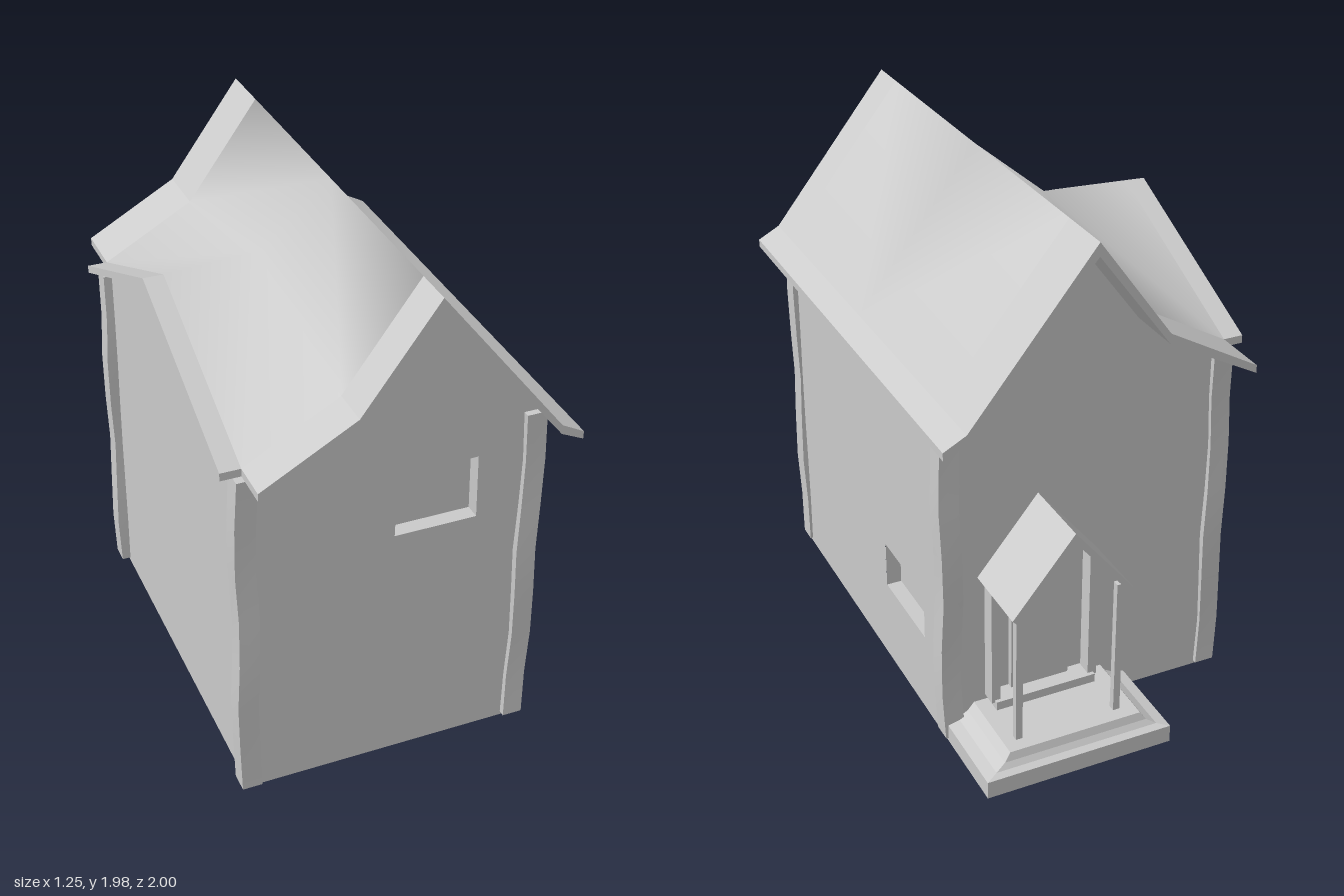
import * as THREE from 'three';

const mat = new THREE.MeshStandardMaterial({ color: 0xcccccc, side: THREE.DoubleSide });
const flatMat = new THREE.MeshStandardMaterial({ color: 0xcccccc, side: THREE.DoubleSide, flatShading: true });

function add(parent, name, geometry, x = 0, y = 0, z = 0, material = mat) {
  const m = new THREE.Mesh(geometry, material);
  m.name = name;
  m.position.set(x, y, z);
  parent.add(m);
  return m;
}
const shapeOf = (pts) => new THREE.Shape(pts.map(([x, y]) => new THREE.Vector2(x, y)));
const extrude = (shape, depth) => new THREE.ExtrudeGeometry(shape, { depth, bevelEnabled: false });

function meshData(positions, index) {
  const g = new THREE.BufferGeometry();
  g.setAttribute('position', new THREE.Float32BufferAttribute(positions, 3));
  g.setIndex(index);
  g.computeVertexNormals();
  return g;
}

// Thin wall facing +z, with an optional four-cornered window set back into it
function wall(parent, name, outline, win) {
  const group = new THREE.Group();
  group.name = name;
  parent.add(group);
  const shape = shapeOf(outline);
  if (win) {
    shape.holes.push(shapeOf(win));
    const cx = win.reduce((s, p) => s + p[0], 0) / 4, cy = win.reduce((s, p) => s + p[1], 0) / 4;
    const reveal = shapeOf(win.map(([x, y]) => [x + Math.sign(x - cx) * 0.005, y + Math.sign(y - cy) * 0.005]));
    reveal.holes.push(shapeOf(win));
    add(group, 'windowReveal', extrude(reveal, 0.058), 0, 0, -0.06);
    add(group, 'windowPane', new THREE.ShapeGeometry(shapeOf(win)), 0, 0, -0.06);
  }
  add(group, 'wallSheet', new THREE.ShapeGeometry(shape));
  return group;
}

// Roof stations across (x) and along (z); the left eave rises into a gable at z = 0.1
const XS = [-0.62, -0.545, -0.2, 0.075, 0.54, 0.625];
const ZS = [1, 0.85, 0.1, -0.64, -0.855];
const EAVE = [1.405, 1.405, 1.6, 1.98, 1.395, 1.35];
const GABLE = [1.73, 1.73, 1.75, 1.98, 1.395, 1.35];
const THICK = [0.03, 0.03, 0.04, 0.05, 0.035, 0.03];
const roofPoint = (i, j, under) =>
  [XS[i], (j === 2 ? GABLE : EAVE)[i] - (under ? THICK[i] : 0), ZS[j]];

function roofPatch(i0, i1, j0, j1, under) {
  const pos = [], index = [], w = i1 - i0 + 1;
  for (let j = j0; j <= j1; j++) for (let i = i0; i <= i1; i++) pos.push(...roofPoint(i, j, under));
  for (let j = 0; j < j1 - j0; j++) for (let i = 0; i < w - 1; i++) {
    const a = j * w + i, b = a + 1, d = a + w, c = d + 1;
    const tris = j + j0 < 2 ? [a, b, c, a, c, d] : [a, b, d, b, c, d];
    index.push(...(under ? tris.reverse() : tris));
  }
  return meshData(pos, index);
}

function buildRoof(parent) {
  const roof = new THREE.Group();
  roof.name = 'roof';
  parent.add(roof);
  add(roof, 'roofSlopes', roofPatch(1, 4, 1, 3, false));
  const flats = [[1, 5, 0, 1], [1, 5, 3, 4], [4, 5, 1, 3], [0, 1, 1, 3]];
  for (const p of flats) add(roof, 'roofOverhang', roofPatch(...p, false), 0, 0, 0, flatMat);
  for (const p of [[1, 4, 1, 3], ...flats]) add(roof, 'roofUnderside', roofPatch(...p, true), 0, 0, 0, flatMat);
  // edge band around the outline
  const loop = [[1, 0], [2, 0], [3, 0], [4, 0], [5, 0], [5, 4], [4, 4], [3, 4], [2, 4], [1, 4],
    [1, 3], [0, 3], [0, 2], [0, 1], [1, 1]];
  const pos = [], index = [], n = loop.length;
  for (const [i, j] of loop) pos.push(...roofPoint(i, j, false), ...roofPoint(i, j, true));
  for (let k = 0; k < n; k++) {
    const a = 2 * k, b = 2 * ((k + 1) % n);
    index.push(a, a + 1, b + 1, a, b + 1, b);
  }
  add(roof, 'roofEdge', meshData(pos, index), 0, 0, 0, flatMat);
}

// Slightly crooked timber post
function cornerPost(seed) {
  const g = new THREE.BoxGeometry(0.076, 1.36, 0.076, 1, 7, 1);
  const p = g.attributes.position;
  for (let k = 0; k < p.count; k++) {
    const y = p.getY(k);
    p.setX(k, p.getX(k) + 0.006 * Math.sin(y * 9 + seed));
    p.setZ(k, p.getZ(k) + 0.004 * Math.sin(y * 7 + seed * 2));
  }
  g.computeVertexNormals();
  return g;
}

function buildPorch(parent) {
  const porch = new THREE.Group();
  porch.name = 'porch';
  parent.add(porch);
  // flared platform from stacked rectangles: y, left x, right x, outer z
  const levels = [[0, -0.19, 0.54, -1], [0.07, -0.19, 0.54, -1], [0.08, -0.145, 0.495, -0.975],
    [0.1, -0.11, 0.455, -0.96], [0.13, -0.09, 0.43, -0.95]];
  const pos = [], index = [];
  for (const [y, x0, x1, z] of levels) pos.push(x0, y, -0.64, x1, y, -0.64, x1, y, z, x0, y, z);
  for (let l = 0; l < levels.length - 1; l++) for (let k = 0; k < 4; k++) {
    const a = l * 4 + k, b = l * 4 + (k + 1) % 4;
    index.push(a, b, b + 4, a, b + 4, a + 4);
  }
  const t = (levels.length - 1) * 4;
  index.push(t, t + 1, t + 2, t, t + 2, t + 3);
  add(porch, 'porchPlatform', meshData(pos, index), 0, 0, 0, flatMat);
  add(porch, 'doorStep', new THREE.BoxGeometry(0.4, 0.04, 0.08), 0.175, 0.145, -0.68);

  // small gabled roof
  const roof = shapeOf([[-0.06, 0.67], [0.175, 0.96], [0.41, 0.67], [0.395, 0.655], [0.175, 0.922], [-0.045, 0.655]]);
  add(porch, 'porchRoof', extrude(roof, 0.29), 0, 0, -0.925);

  // posts, wall pilasters and door
  for (const side of [-1, 1]) {
    const x = 0.175 + side * 0.195;
    add(porch, 'porchPost', new THREE.BoxGeometry(0.026, 0.55, 0.026), x, 0.405, -0.885);
    add(porch, 'wallPilaster', new THREE.BoxGeometry(0.035, 0.53, 0.06), x, 0.42, -0.675);
  }
  const door = shapeOf([[0.06, 0.16], [0.29, 0.16], [0.29, 0.68], [0.175, 0.82], [0.06, 0.68]]);
  add(porch, 'door', extrude(door, 0.025), 0, 0, -0.662);
}

export function createModel() {
  const house = new THREE.Group();
  house.name = 'house';

  // walls
  const gable = [[-0.545, 0], [0.54, 0], [0.54, 1.37], [0.075, 1.94], [-0.2, 1.565], [-0.545, 1.38]];
  wall(house, 'frontWall', gable, [[0.005, 0.98], [0.317, 0.98], [0.312, 1.235], [0.01, 1.23]]).position.z = 0.855;
  wall(house, 'backWall', gable).position.z = -0.635;
  const right = wall(house, 'rightWall', [[-0.855, 0], [0.635, 0], [0.635, 1.375], [-0.855, 1.375]],
    [[0.075, 0.325], [0.45, 0.325], [0.45, 0.513], [0.075, 0.513]]);
  right.rotation.y = Math.PI / 2;
  right.position.x = 0.54;
  const left = wall(house, 'leftWall', [[-0.635, 0], [0.855, 0], [0.855, 1.38], [0.1, 1.7], [-0.635, 1.38]]);
  left.rotation.y = -Math.PI / 2;
  left.position.x = -0.545;

  // corner posts
  let seed = 0;
  for (const x of [-0.543, 0.517]) for (const z of [0.842, -0.617])
    add(house, 'cornerPost', cornerPost(seed += 1.3), x, 0.695, z);

  buildRoof(house);
  buildPorch(house);
  return house;
}
